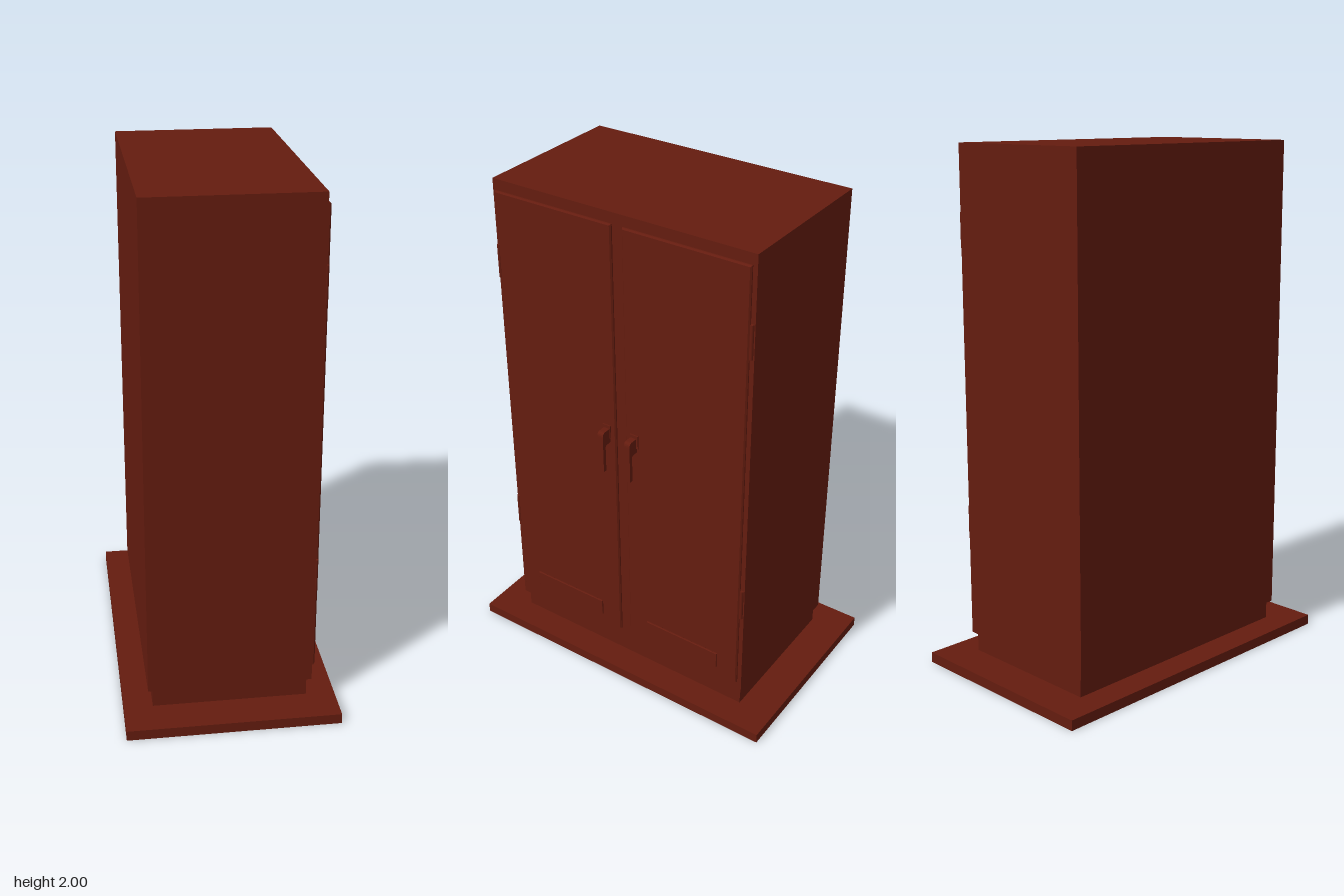
import * as THREE from 'three';

const paint = new THREE.MeshStandardMaterial({ color: 0x641c0f });

function add(parent, name, geometry, x = 0, y = 0, z = 0) {
  const mesh = new THREE.Mesh(geometry, paint);
  mesh.name = name;
  mesh.position.set(x, y, z);
  parent.add(mesh);
  return mesh;
}

function rect(P, x0, y0, x1, y1) {
  const p = new P();
  p.moveTo(x0, y0);
  p.lineTo(x1, y0);
  p.lineTo(x1, y1);
  p.lineTo(x0, y1);
  p.closePath();
  return p;
}

// Upright rectangular tube, open at both ends
function frame(halfX, halfZ, holeX, holeZ, height) {
  const s = rect(THREE.Shape, -halfX, -halfZ, halfX, halfZ);
  s.holes.push(rect(THREE.Path, -holeX, -holeZ, holeX, holeZ));
  return new THREE.ExtrudeGeometry(s, { depth: height, bevelEnabled: false }).rotateX(-Math.PI / 2);
}

// Panel lying against the +x face with a chamfered outer edge
function panel(width, height, depth, chamfer) {
  const w = width / 2 - chamfer, h = height / 2 - chamfer;
  return new THREE.ExtrudeGeometry(rect(THREE.Shape, -w, -h, w, h), {
    depth: depth - 2 * chamfer, bevelSize: chamfer, bevelThickness: chamfer, bevelSegments: 1,
  }).translate(0, 0, chamfer).rotateY(Math.PI / 2);
}

// Bent lever with a rounded outer elbow, centred on its width
function leverGeometry(width) {
  const s = new THREE.Shape();
  s.moveTo(0, 1.08);
  s.lineTo(0, 1.14);
  s.lineTo(0.033, 1.14);
  s.quadraticCurveTo(0.048, 1.14, 0.048, 1.12);
  s.lineTo(0.048, 0.97);
  s.lineTo(0.033, 0.97);
  s.lineTo(0.033, 1.07);
  s.quadraticCurveTo(0.033, 1.08, 0.025, 1.08);
  s.closePath();
  return new THREE.ExtrudeGeometry(s, { depth: width, bevelEnabled: false, curveSegments: 5 })
    .translate(0, 0, -width / 2);
}

export function createModel() {
  const model = new THREE.Group();
  model.name = 'cabinet';

  // Hollow base and body, open underneath
  add(model, 'basePlate', frame(0.405, 0.675, 0.29, 0.52, 0.04));
  add(model, 'plinth', frame(0.295, 0.53, 0.285, 0.515, 0.075), 0, 0.04);
  add(model, 'body', frame(0.3125, 0.543, 0.285, 0.515, 1.865), 0, 0.115);
  add(model, 'roof', new THREE.BoxGeometry(0.625, 0.02, 1.086), 0, 1.99);

  // Mirrored pair of doors with their fittings
  for (const side of [1, -1]) {
    const door = new THREE.Group();
    door.name = side > 0 ? 'leftDoor' : 'rightDoor';
    model.add(door);
    add(door, 'doorPanel', panel(0.505, 1.79, 0.015, 0.005), 0.311, 1.065, side * 0.275);
    add(door, 'ventCover', panel(0.33, 0.07, 0.008, 0.002), 0.325, 0.245, side * 0.275);
    add(door, 'handlePlate', new THREE.BoxGeometry(0.006, 0.055, 0.036), 0.328, 1.125, side * 0.062);
    add(door, 'handle', leverGeometry(0.025), 0.324, 0, side * 0.06);
    for (const y of [0.565, 1.685]) {
      add(door, 'hinge', new THREE.CylinderGeometry(0.007, 0.007, 0.13, 10), 0.317, y, side * 0.533);
    }
  }
  return model;
}
